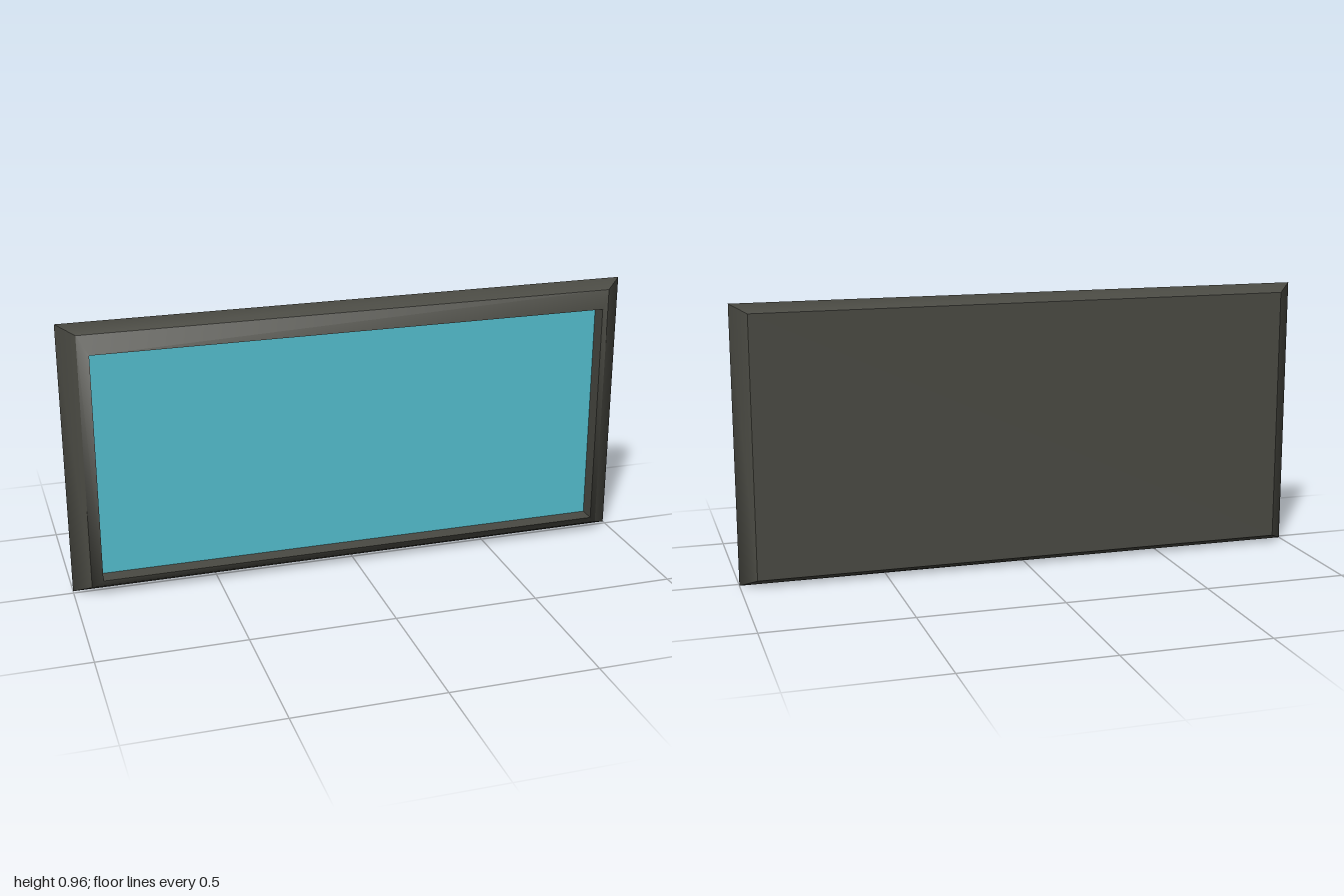
import * as THREE from 'three';

// Rectangular cross-section at depth z: corners counter-clockwise from bottom left
const ring = (halfWidth, bottom, top, z) => [
  [-halfWidth, bottom, z], [halfWidth, bottom, z],
  [halfWidth, top, z], [-halfWidth, top, z],
];

const backRing = ring(0.945, 0.028, 0.929, -0.07);
const ridgeRing = ring(1, 0, 0.957, -0.015);
const shoulderRing = ring(0.94, 0.03, 0.929, 0.038);
const rimRing = ring(0.904, 0.065, 0.868, 0.07);
const recessRing = ring(0.904, 0.065, 0.868, 0.01);

function finish(points, index) {
  const geometry = new THREE.BufferGeometry();
  geometry.setAttribute('position', new THREE.Float32BufferAttribute(points.flat(), 3));
  geometry.setIndex(index);
  geometry.computeVertexNormals();
  return geometry;
}

// Four mitred strips through the rings: smooth along depth, sharp at the corners
function mitredBand(rings) {
  const points = [], index = [];
  for (let side = 0; side < 4; side++) {
    const start = points.length;
    for (const r of rings) points.push(r[side], r[(side + 1) % 4]);
    for (let k = 0; k < rings.length - 1; k++) {
      const a = start + 2 * k;
      index.push(a, a + 1, a + 3, a, a + 3, a + 2);
    }
  }
  return finish(points, index);
}

// One band between two rings, smooth around the corners
function smoothBand(from, to) {
  const index = [];
  for (let i = 0; i < 4; i++) {
    const j = (i + 1) % 4;
    index.push(i, j, 4 + j, i, 4 + j, 4 + i);
  }
  return finish([...from, ...to], index);
}

const frontPanel = (r) => finish(r, [0, 1, 2, 0, 2, 3]);
const backPanel = (r) => finish(r, [0, 2, 1, 0, 3, 2]);

export function createModel() {
  const frameMaterial = new THREE.MeshStandardMaterial({ color: 0x4a4a43 });
  frameMaterial.name = 'dark frame';
  const screenMaterial = new THREE.MeshStandardMaterial({ color: 0x54c0d0 });
  screenMaterial.name = 'cyan screen';

  const model = new THREE.Group();
  model.name = 'wallScreen';
  const add = (parent, name, geometry, material) => {
    const mesh = new THREE.Mesh(geometry, material);
    mesh.name = name;
    parent.add(mesh);
  };

  // Bevelled casing
  const frame = new THREE.Group();
  frame.name = 'frame';
  model.add(frame);
  add(frame, 'outerEdge', mitredBand([backRing, ridgeRing, shoulderRing]), frameMaterial);
  add(frame, 'frontBezel', smoothBand(shoulderRing, rimRing), frameMaterial);
  add(frame, 'recessWalls', mitredBand([rimRing, recessRing]), frameMaterial);
  add(frame, 'backPanel', backPanel(backRing), frameMaterial);

  // Display set back inside the bezel
  add(model, 'screen', frontPanel(recessRing), screenMaterial);
  return model;
}
